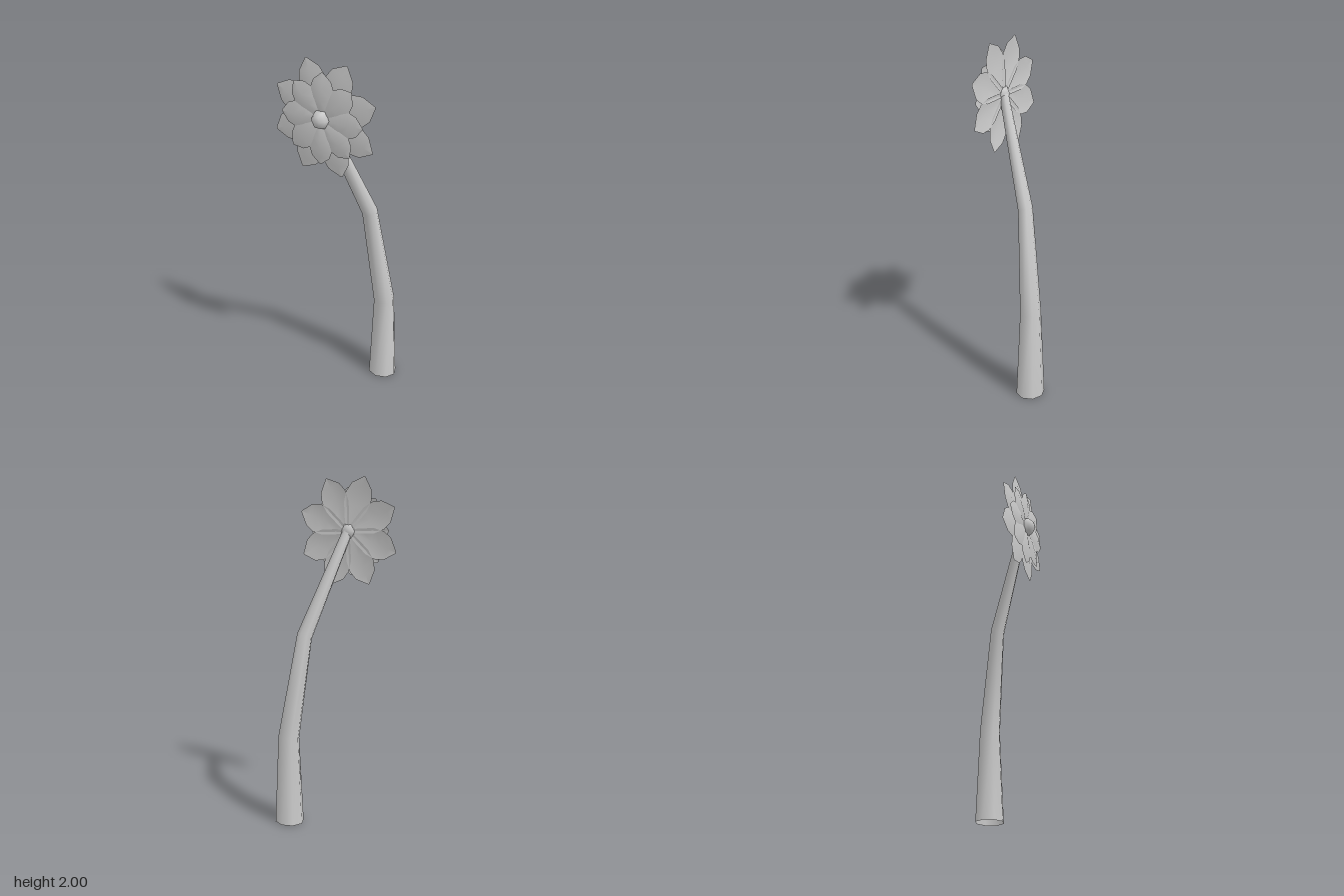
import * as THREE from 'three';

const makeMaterial = () => new THREE.MeshStandardMaterial({ color: 0xcccccc, side: THREE.DoubleSide });

// Build a smooth surface from rows of points; closed rows wrap around.
function loft(rows, closed) {
  const n = rows[0].length;
  const index = [];
  for (let i = 0; i < rows.length - 1; i++) {
    for (let j = 0; j < (closed ? n : n - 1); j++) {
      const k = (j + 1) % n;
      const a = i * n + j, b = i * n + k, c = a + n, d = b + n;
      index.push(a, c, b, b, c, d);
    }
  }
  const geometry = new THREE.BufferGeometry();
  geometry.setAttribute('position', new THREE.Float32BufferAttribute(rows.flat(2), 3));
  geometry.setIndex(index);
  geometry.computeVertexNormals();
  return geometry;
}

// Eight-sided bent stem, open at the bottom; each ring is tilted by its slopes.
function makeStem() {
  const rings = [
    { c: [0.203, 0, -0.157], rx: 0.087, rz: 0.08, sx: 0, sz: 0 },
    { c: [0.202, 0.52, -0.157], rx: 0.063, rz: 0.058, sx: 0.05, sz: -0.12 },
    { c: [0.14, 1.11, -0.079], rx: 0.045, rz: 0.038, sx: 0.15, sz: -0.45 },
    { c: [0.003, 1.69, 0.16], rx: 0.028, rz: 0.024, sx: 0.24, sz: -0.41 },
  ];
  const rows = rings.map(({ c, rx, rz, sx, sz }) =>
    Array.from({ length: 8 }, (_, j) => {
      const a = (j / 8) * Math.PI * 2;
      const dx = Math.cos(a) * rx, dz = Math.sin(a) * rz;
      return [c[0] + dx, c[1] + sx * dx + sz * dz, c[2] + dz];
    }));
  const stem = new THREE.Mesh(loft(rows, true), makeMaterial());
  stem.name = 'stem';
  return stem;
}

// Petal along +x: stations of [distance, half width, lift of the middle].
function petalGeometry(stations) {
  return loft(stations.map(([r, w, lift]) => [[r, w, 0], [r + w * 0.05, 0, lift], [r, -w, 0]]), false);
}

// Ring of eight petals, turned slightly about the vertical axis.
function makePetalRing(name, stations, startDegrees, z) {
  const ring = new THREE.Group();
  ring.name = name;
  const geometry = petalGeometry(stations);
  const material = makeMaterial();
  for (let i = 0; i < 8; i++) {
    const petal = new THREE.Mesh(geometry, material);
    petal.name = 'petal';
    petal.rotation.z = THREE.MathUtils.degToRad(startDegrees + i * 45);
    ring.add(petal);
  }
  ring.position.set(0, 1.693, z);
  ring.rotation.y = 0.053;
  return ring;
}

export function createModel() {
  const model = new THREE.Group();
  model.name = 'flower';
  model.add(makeStem());

  model.add(makePetalRing('outerPetals', [
    [0, 0.012, 0], [0.07, 0.045, 0.008], [0.15, 0.078, 0.014],
    [0.215, 0.084, 0.012], [0.268, 0.066, 0.006], [0.325, 0.004, 0],
  ], 19.5, 0.157));

  model.add(makePetalRing('innerPetals', [
    [0, 0.012, 0], [0.05, 0.035, 0.008], [0.1, 0.06, 0.014],
    [0.16, 0.072, 0.012], [0.208, 0.054, 0.006], [0.248, 0.004, 0],
  ], -2, 0.181));

  // Low-poly button with its pole facing forward
  const buttonGeometry = new THREE.SphereGeometry(0.053, 6, 6);
  buttonGeometry.rotateX(Math.PI / 2);
  const button = new THREE.Mesh(buttonGeometry, makeMaterial());
  button.name = 'flowerCentre';
  button.scale.z = 0.95;
  button.position.set(0, 1.693, 0.185);
  model.add(button);

  return model;
}
